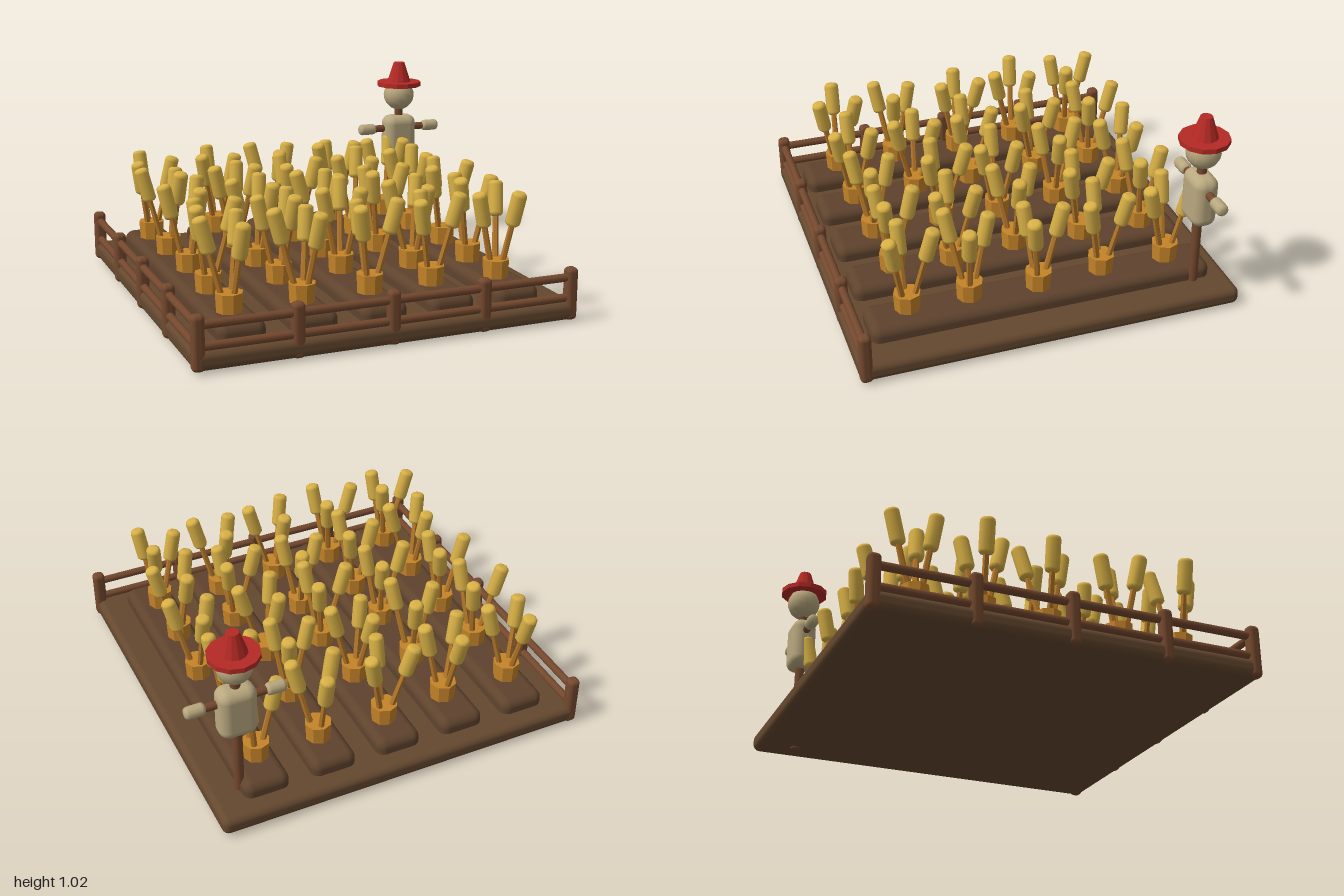
import * as THREE from 'three';
import { RoundedBoxGeometry } from 'three/addons/geometries/RoundedBoxGeometry.js';

const mat = (color, flatShading = false) => new THREE.MeshStandardMaterial({ color, flatShading });
const SOIL = mat(0x65482f), BED = mat(0x5f432d), WOOD = mat(0x74482e);
const STALK = mat(0xb87a2a, true), TIE = mat(0xc58429, true), GRAIN = mat(0xd8b046);
const CLOTH = mat(0xb9a87f), HAT = mat(0xb52a25, true);

function add(parent, name, geometry, material, x = 0, y = 0, z = 0) {
  const mesh = new THREE.Mesh(geometry, material);
  mesh.name = name;
  mesh.position.set(x, y, z);
  parent.add(mesh);
  return mesh;
}

function group(parent, name, x = 0, y = 0, z = 0) {
  const g = new THREE.Group();
  g.name = name;
  g.position.set(x, y, z);
  parent.add(g);
  return g;
}

// Upright cylinder with softened ends, centred on its origin
function softCylinder(radius, length, bevel, sides = 10) {
  const h = length / 2, pts = [new THREE.Vector2(0, -h)];
  for (const s of [-1, 1]) {
    for (let i = 0; i <= 3; i++) {
      const a = (s < 0 ? i : 3 - i) * Math.PI / 6;
      pts.push(new THREE.Vector2(radius - bevel + bevel * Math.sin(a), s * (h - bevel + bevel * Math.cos(a))));
    }
  }
  pts.push(new THREE.Vector2(0, h));
  return new THREE.LatheGeometry(pts, sides);
}

// Plants, one row per bed: x, z, turn in degrees
const PLANTS = [
  [[-.745, -.665, 20], [-.74, -.345, 71], [-.73, -.015, 68], [-.74, .345, 12], [-.74, .665, 66]],
  [[-.38, -.665, 25], [-.38, -.345, 54], [-.385, .02, 56], [-.38, .325, 70], [-.385, .655, 61]],
  [[-.04, -.69, 91], [-.05, -.345, 12], [-.025, -.015, 63], [-.04, .285, 49], [-.04, .64, 14]],
  [[.305, -.675, 29], [.305, -.345, 54], [.285, 0, 8], [.32, .335, 64], [.285, .63, 26]],
  [[.625, -.67, 65], [.625, -.33, 58], [.655, .005, 30], [.63, .345, 15], [.625, .65, 54]],
];

function addFence(root) {
  const fence = group(root, 'fence');
  const post = new RoundedBoxGeometry(.06, .26, .06, 3, .022);
  const rail = new THREE.CylinderGeometry(.02, .02, 1.85, 10);
  for (let i = 0; i < 5; i++) {
    add(fence, 'frontPost', post, WOOD, -.967 + i * .4625, .14, .92);
    if (i < 4) add(fence, 'sidePost', post, WOOD, -.967, .14, -.93 + i * .4625);
  }
  for (const y of [.12, .22]) {
    add(fence, 'frontRail', rail, WOOD, -.042, y, .92).rotation.z = Math.PI / 2;
    add(fence, 'sideRail', rail, WOOD, -.967, y, -.005).rotation.x = Math.PI / 2;
  }
}

function addCrops(root) {
  const crops = group(root, 'crops');
  const bed = new RoundedBoxGeometry(.23, .115, 1.72, 4, .045);
  const tie = new THREE.CylinderGeometry(.067, .062, .1, 8);
  const stalk = new THREE.CylinderGeometry(.014, .016, .32, 6);
  const ear = softCylinder(.037, .175, .02);
  PLANTS.forEach((row, r) => {
    add(crops, 'bed', bed, BED, -.735 + r * .345, .118, -.005);
    row.forEach(([x, z, turn], c) => {
      const plant = group(crops, 'wheatPlant', x, .17, z);
      add(plant, 'tie', tie, TIE, 0, .047, 0);
      // Three stalks leaning outward, each with a small fixed variation
      for (let k = 0; k < 3; k++) {
        const vary = Math.sin(r * 5.1 + c * 2.7 + k * 4.3);
        const arm = group(plant, 'stalkTurn');
        arm.rotation.y = -THREE.MathUtils.degToRad(turn + k * 120);
        const lean = group(arm, 'stalkLean', .015, 0, 0);
        lean.rotation.z = -.235 - vary * .03;
        add(lean, 'stalk', stalk, STALK, 0, .165, 0);
        add(lean, 'ear', ear, GRAIN, 0, .37 + vary * .015, 0);
      }
    });
  });
}

function addScarecrow(root) {
  const figure = group(root, 'scarecrow', .754, 0, -.77);
  add(figure, 'pole', softCylinder(.024, .8, .008), WOOD, 0, .4, 0);
  add(figure, 'body', new RoundedBoxGeometry(.187, .268, .125, 5, .05), CLOTH, 0, .586, 0);
  add(figure, 'crossbar', new THREE.CylinderGeometry(.02, .02, .44, 10), WOOD, 0, .645, 0).rotation.z = Math.PI / 2;
  for (const s of [-1, 1]) {
    add(figure, 'hand', softCylinder(.031, .1, .02, 12), CLOTH, s * .195, .645, 0).rotation.z = Math.PI / 2;
  }
  add(figure, 'head', new THREE.SphereGeometry(.086, 14, 10), CLOTH, 0, .836, 0);
  add(figure, 'hatBrim', new THREE.CylinderGeometry(.123, .123, .025, 12), HAT, 0, .9, 0);
  add(figure, 'hatCrown', new THREE.CylinderGeometry(.03, .066, .11, 12), HAT, 0, .967, 0);
}

export function createModel() {
  const root = new THREE.Group();
  root.name = 'wheatField';
  add(root, 'ground', new RoundedBoxGeometry(1.9, .092, 1.91, 4, .035), SOIL, -.042, .056, -.004);
  addFence(root);
  addCrops(root);
  addScarecrow(root);
  return root;
}
